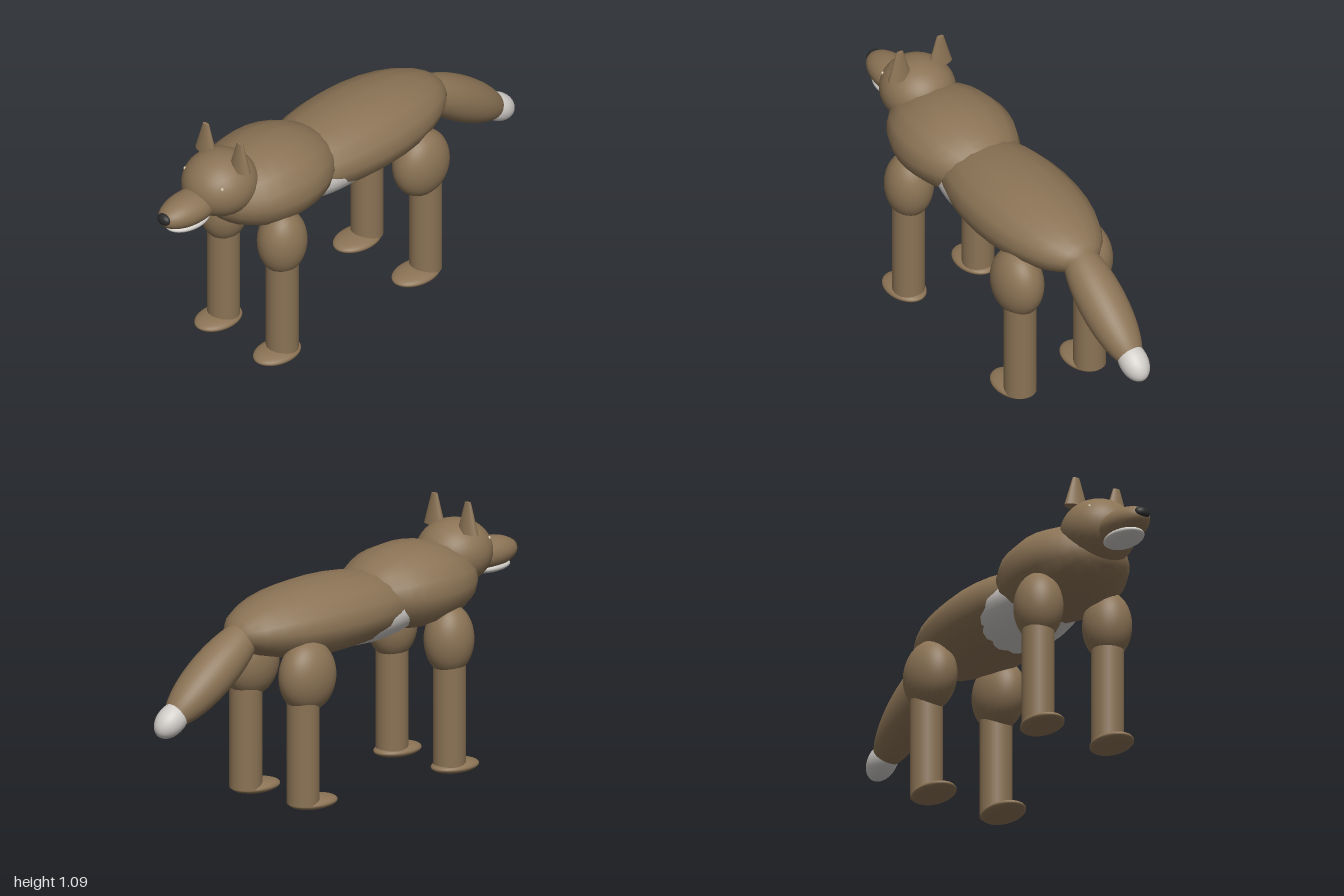
import * as THREE from 'three';

export function createModel() {
  const model = new THREE.Group();
  const fur = new THREE.MeshStandardMaterial({ color: 0x8b7355 });
  fur.name = 'brown fur';
  const pale = new THREE.MeshStandardMaterial({ color: 0xd0ccc8 });
  pale.name = 'pale fur';
  const black = new THREE.MeshStandardMaterial({ color: 0x2a2a2a });
  black.name = 'nose black';
  const eyeTan = new THREE.MeshStandardMaterial({ color: 0xd8c8a8 });
  eyeTan.name = 'eye tan';

  // Spheres have their poles along z, the direction of the body
  const ball = new THREE.SphereGeometry(1, 32, 24).rotateX(Math.PI / 2);
  const coarseBall = new THREE.SphereGeometry(1, 16, 16).rotateX(Math.PI / 2);

  function add(name, geometry, material, position, scale = [1, 1, 1], tilt = 0) {
    const mesh = new THREE.Mesh(geometry, material);
    mesh.name = name;
    mesh.position.set(...position);
    mesh.scale.set(...scale);
    mesh.rotation.x = tilt;
    model.add(mesh);
    return mesh;
  }

  // Trunk
  add('hindBody', coarseBall, fur, [0, 0.745, -0.09], [0.235, 0.155, 0.49]);
  add('chest', coarseBall, fur, [0, 0.777, 0.4], [0.25, 0.173, 0.315]);
  add('belly', ball, pale, [0, 0.72, 0.09], [0.2, 0.131, 0.36]);

  // Head
  add('head', ball, fur, [0, 0.864, 0.66], [0.155, 0.136, 0.16]);
  add('muzzle', ball, fur, [0, 0.823, 0.835], [0.084, 0.067, 0.158]);
  add('lowerJaw', ball, pale, [0, 0.768, 0.845], [0.07, 0.026, 0.108]);
  add('nose', ball, black, [0, 0.831, 0.977], [0.034, 0.025, 0.023]);

  // Tail sloping down to a pale tip
  const slope = -0.61;
  add('tail', ball, fur, [0, 0.61, -0.69], [0.1, 0.095, 0.3], slope);
  add('tailTip', ball, pale, [0, 0.455, -0.917], [0.06, 0.06, 0.09], slope);

  // Ears, eyes and legs on both sides
  const earShape = new THREE.CylinderGeometry(0.016, 0.055, 0.13, 24);
  const shin = new THREE.CylinderGeometry(0.067, 0.067, 0.47, 24);
  for (const [side, s] of [['left', 1], ['right', -1]]) {
    add(side + 'Ear', earShape, fur, [s * 0.098, 1.025, 0.643], [1, 1, 0.5]);
    add(side + 'Eye', ball, eyeTan, [s * 0.107, 0.92, 0.754], [0.006, 0.008, 0.006]);

    add(side + 'FrontThigh', ball, fur, [s * 0.167, 0.563, 0.472], [0.1, 0.148, 0.106]);
    add(side + 'FrontShin', shin, fur, [s * 0.169, 0.265, 0.473]);
    add(side + 'FrontPaw', ball, fur, [s * 0.169, 0.028, 0.503], [0.08, 0.027, 0.112]);

    add(side + 'HindThigh', ball, fur, [s * 0.167, 0.56, -0.318], [0.1, 0.151, 0.132]);
    add(side + 'HindShin', shin, fur, [s * 0.169, 0.265, -0.343]);
    add(side + 'HindPaw', ball, fur, [s * 0.169, 0.028, -0.288], [0.08, 0.027, 0.115]);
  }
  return model;
}
